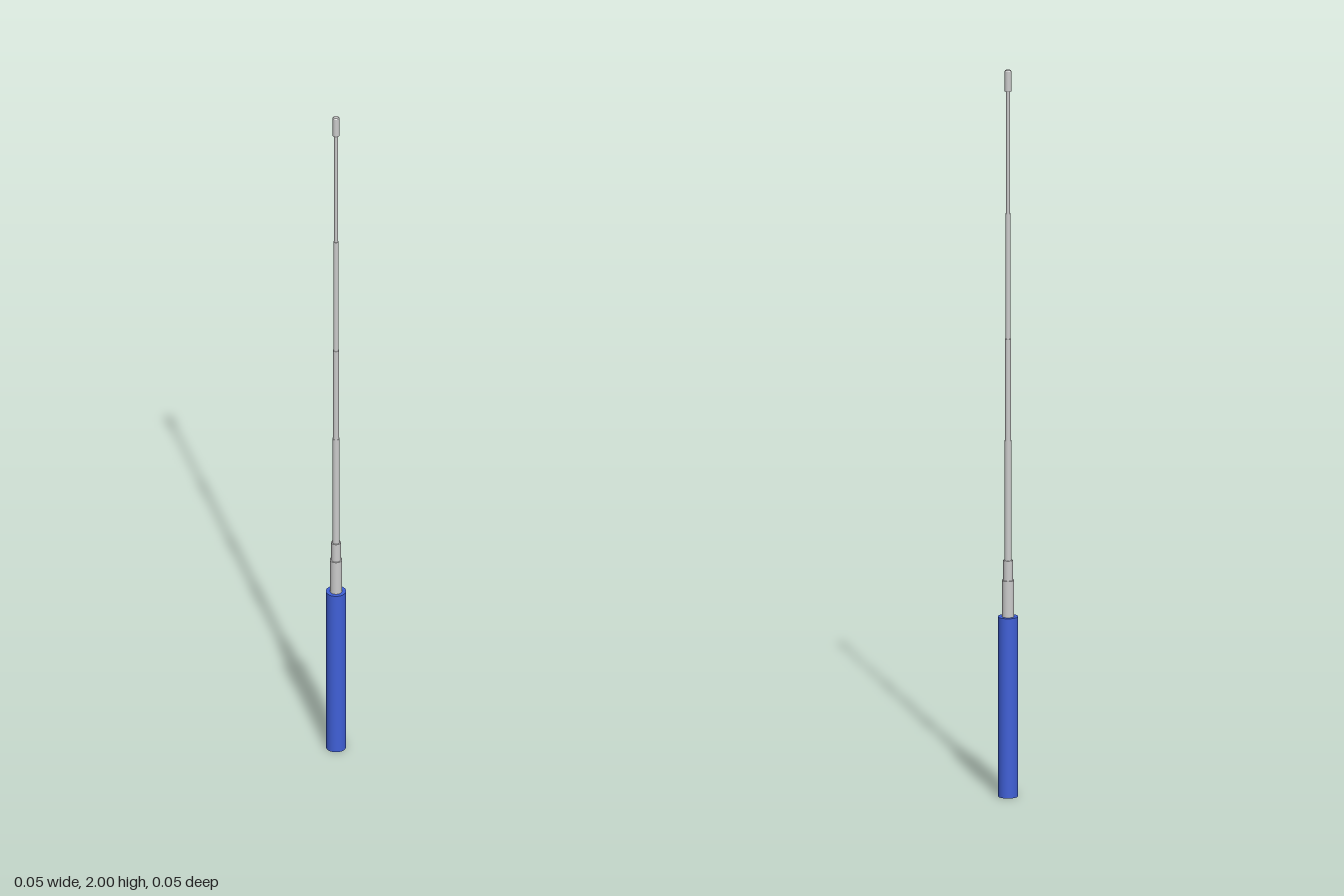
import * as THREE from 'three';

export function createModel() {
  const group = new THREE.Group();
  const metal = new THREE.MeshStandardMaterial({ color: 0xcccccc });
  const grip = new THREE.MeshStandardMaterial({ color: 0x4060d8 });

  // Upright round section from y0 to y1
  function section(name, radius, y0, y1, material = metal, topRadius = radius) {
    const geometry = new THREE.CylinderGeometry(topRadius, radius, y1 - y0, 32);
    const mesh = new THREE.Mesh(geometry, material);
    mesh.name = name;
    mesh.position.y = (y0 + y1) / 2;
    group.add(mesh);
  }

  // Handle and the stepped collar above it
  section('handle', 0.027, 0, 0.495, grip);
  section('collarBase', 0.0165, 0.495, 0.595);
  section('collarNeck', 0.013, 0.595, 0.65);

  // Telescoping rod, each stage thinner than the one below
  const stops = [0.65, 0.98, 1.26, 1.605, 1.945];
  const radii = [0.0095, 0.0082, 0.0068, 0.0052];
  radii.forEach((radius, i) => section(`rodStage${i + 1}`, radius, stops[i], stops[i + 1]));

  // End cap with a small bevel
  const profile = [[0, 1.942], [0.009, 1.942], [0.009, 1.997], [0.007, 2], [0, 2]];
  // Repeated corner points keep the edges sharp
  const points = profile.flatMap(([r, y]) => [new THREE.Vector2(r, y), new THREE.Vector2(r, y)]).slice(1, -1);
  const tip = new THREE.Mesh(new THREE.LatheGeometry(points, 32), metal);
  tip.name = 'tip';
  group.add(tip);

  return group;
}
